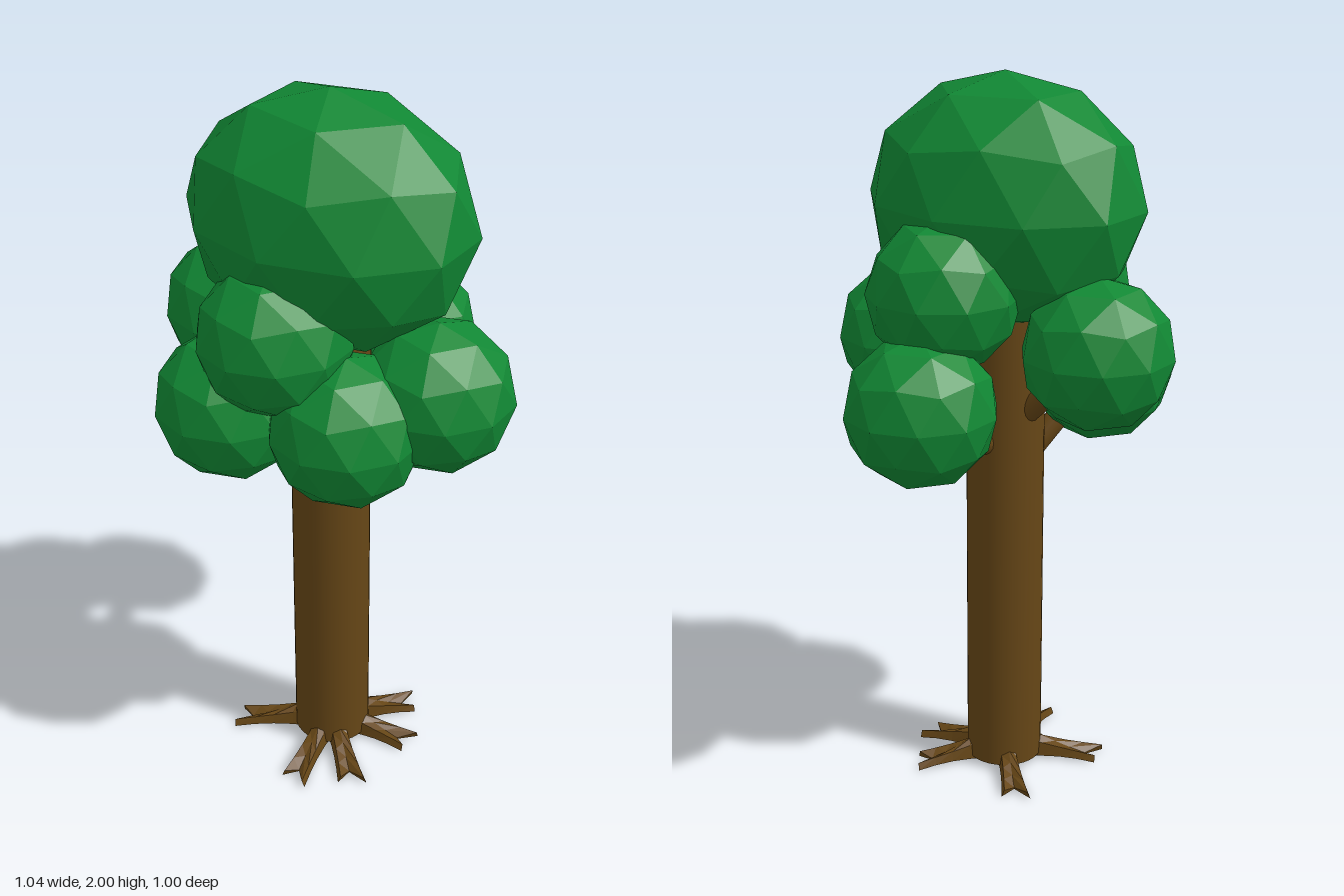
import * as THREE from 'three';

const bark = new THREE.MeshStandardMaterial({ color: 0x664616 });
const barkFlat = new THREE.MeshStandardMaterial({ color: 0x664616, flatShading: true });
const leaf = new THREE.MeshStandardMaterial({ color: 0x118834, flatShading: true });

const TRUNK_Z = 0.075;
const TRUNK_R = 0.108;

// Faceted ball with a corner at each pole
function leafBall(name, position, radii, turn = 0) {
  const geometry = new THREE.IcosahedronGeometry(1, 1);
  geometry.rotateX(-Math.atan((1 + Math.sqrt(5)) / 2));
  geometry.rotateY(Math.PI / 2 + turn);
  geometry.scale(...radii);
  const mesh = new THREE.Mesh(geometry, leaf);
  mesh.name = name;
  mesh.position.set(...position);
  return mesh;
}

// Round limb from the trunk axis into a leaf ball
function branch(name, startY, end) {
  const a = new THREE.Vector3(0, startY, TRUNK_Z);
  const dir = new THREE.Vector3(...end).sub(a);
  const geometry = new THREE.CylinderGeometry(0.028, 0.036, dir.length(), 16);
  const mesh = new THREE.Mesh(geometry, bark);
  mesh.name = name;
  mesh.position.copy(a).addScaledVector(dir, 0.5);
  mesh.quaternion.setFromUnitVectors(new THREE.Vector3(0, 1, 0), dir.normalize());
  return mesh;
}

// Root that flattens, widens and splits into two toes toward its tip
function root(degrees, length) {
  const geometry = new THREE.BoxGeometry(1, 1, 1, 4, 1, 2);
  const p = geometry.attributes.position;
  for (let i = 0; i < p.count; i++) {
    const t = p.getX(i) + 0.5;
    const side = p.getZ(i) * 2;
    const isTop = p.getY(i) > 0;
    const middle = Math.abs(side) < 0.1;
    const reach = length - (middle ? 0.05 : 0) - (side > 0.5 ? 0.02 : 0);
    const x = 0.06 + t * (reach - 0.06);
    const top = 0.09 - 0.07 * Math.pow(t, 0.75) - (middle ? 0.012 * t : 0.025 * (1 - t));
    const bottom = 0.03 * (1 - t) * t + (middle ? 0.004 : 0);
    p.setXYZ(i, x, isTop ? top : bottom, side * (0.026 + 0.014 * t * t) * (isTop ? 0.8 : 1));
  }
  geometry.computeVertexNormals();
  const mesh = new THREE.Mesh(geometry, barkFlat);
  mesh.name = 'root';
  mesh.position.z = TRUNK_Z;
  mesh.rotation.y = -THREE.MathUtils.degToRad(degrees);
  return mesh;
}

export function createModel() {
  const tree = new THREE.Group();
  tree.name = 'tree';

  // Trunk
  const trunk = new THREE.Mesh(new THREE.CylinderGeometry(TRUNK_R, TRUNK_R, 1.5, 32), bark);
  trunk.name = 'trunk';
  trunk.position.set(0, 0.765, TRUNK_Z);
  tree.add(trunk);

  // Roots: direction from +x toward +z, and length
  const roots = new THREE.Group();
  roots.name = 'roots';
  for (const [degrees, length] of [[-10, 0.26], [44, 0.28], [80, 0.29], [150, 0.29], [227, 0.27], [308, 0.27]]) {
    roots.add(root(degrees, length));
  }
  tree.add(roots);

  // Crown
  tree.add(leafBall('crown', [0, 1.66, 0.07], [0.4, 0.34, 0.315]));

  // Leaf balls around the crown, each on its own branch
  const clusters = [
    ['right', [-0.325, 1.305, 0.03], 1.02],
    ['left', [0.322, 1.247, 0.066], 0.95],
    ['frontRight', [-0.167, 1.175, 0.29], 0.87],
    ['frontLeft', [0.165, 1.185, 0.25], 0.93],
    ['frontUpper', [-0.025, 1.405, 0.285], 1.25],
    ['back', [0, 1.175, -0.3], 0.95],
    ['backUpper', [0.018, 1.455, -0.175], 1.3, Math.PI / 10],
  ];
  for (const [name, position, startY, turn] of clusters) {
    tree.add(leafBall(name + 'Leaves', position, [0.205, 0.205, 0.205], turn));
    tree.add(branch(name + 'Branch', startY, position));
  }
  return tree;
}
